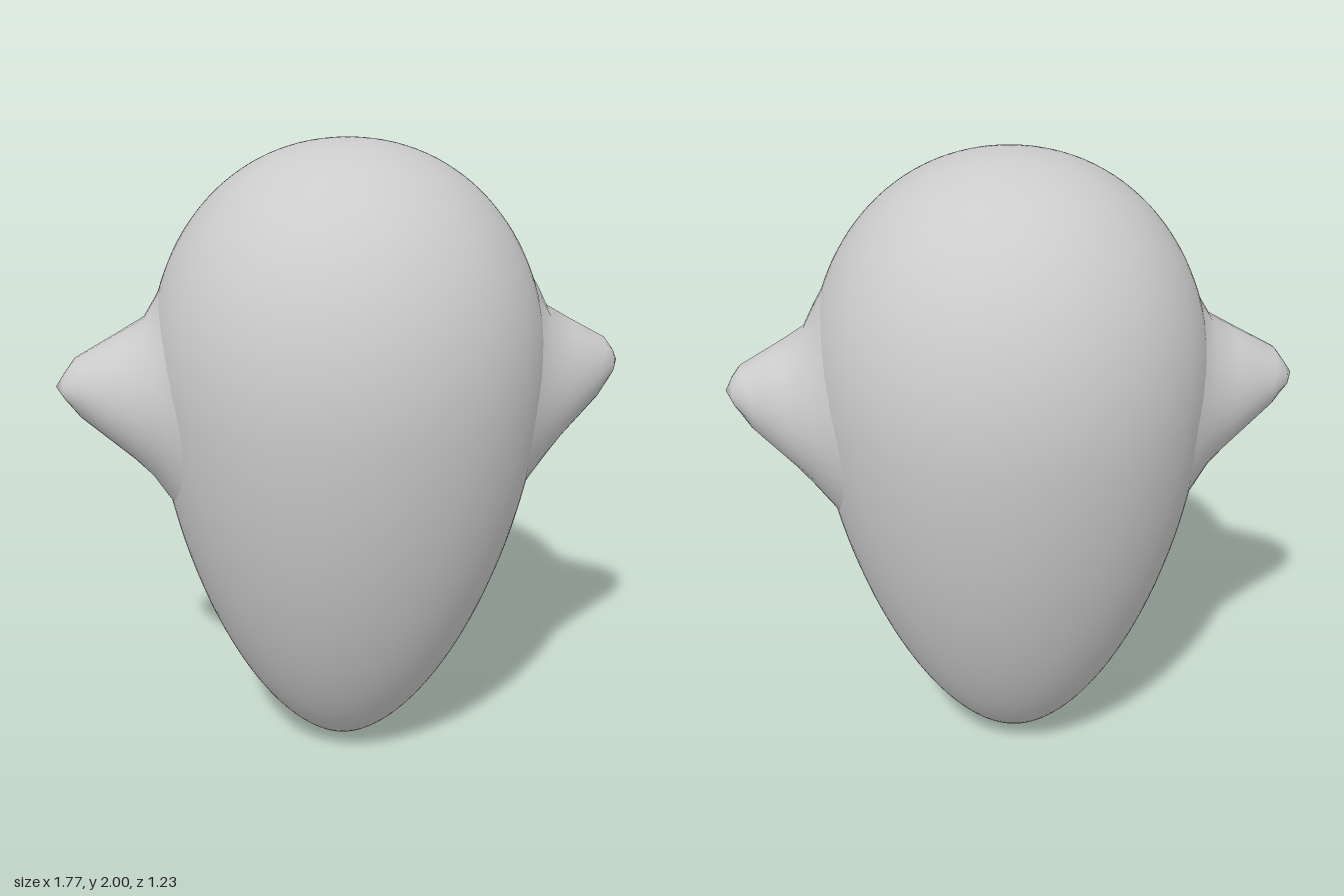
import * as THREE from 'three';

const material = new THREE.MeshStandardMaterial({ color: 0xcccccc });

// Egg-shaped body: a domed upper half and a longer tapering lower half
function makeBody() {
  const waist = 1.3, radius = 0.613, points = [];
  for (let i = 0; i <= 64; i++) {
    const a = -Math.PI / 2 + (Math.PI * i) / 64;
    const p = a < 0 ? 1.7 : 2.1;
    const height = a < 0 ? waist : 2 - waist;
    const r = i % 64 === 0 ? 0 : radius * Math.pow(Math.cos(a), 2 / p);
    const y = waist + Math.sign(a) * height * Math.pow(Math.abs(Math.sin(a)), 2 / p);
    points.push(new THREE.Vector2(r, y));
  }
  const geometry = new THREE.LatheGeometry(points, 96);
  // Lean very slightly to the left towards the top
  const pos = geometry.attributes.position;
  for (let i = 0; i < pos.count; i++) {
    pos.setX(i, pos.getX(i) + 0.015 * Math.min(1, pos.getY(i) / 1.2));
  }
  const mesh = new THREE.Mesh(geometry, material);
  mesh.name = 'body';
  return mesh;
}

// Side bump lofted through rings that wrap the body at the base.
// Each ring: [topX, topY, bottomX, bottomY, sideX, halfDepth]
function makeBump(name, side, rings, tip) {
  const n = 32, vertices = [], index = [];
  const tri = (a, b, c) => index.push(...(side > 0 ? [a, b, c] : [a, c, b]));
  for (const [topX, topY, botX, botY, sideX, depth] of rings) {
    for (let j = 0; j < n; j++) {
      const a = (2 * Math.PI * j) / n, c = Math.cos(a);
      const x = THREE.MathUtils.lerp(sideX, c > 0 ? topX : botX, c * c);
      vertices.push(side * x, (topY + botY) / 2 + (c * (topY - botY)) / 2, depth * Math.sin(a));
    }
  }
  vertices.push(side * tip[0], tip[1], 0);
  const tipIndex = rings.length * n;
  rings.forEach((_, i) => {
    for (let j = 0; j < n; j++) {
      const a = i * n + j, b = i * n + ((j + 1) % n);
      if (i === rings.length - 1) {
        tri(a, b, tipIndex);
      } else {
        tri(a, b, a + n);
        tri(b, b + n, a + n);
      }
    }
  });
  const geometry = new THREE.BufferGeometry();
  geometry.setAttribute('position', new THREE.Float32BufferAttribute(vertices, 3));
  geometry.setIndex(index);
  geometry.computeVertexNormals();
  const mesh = new THREE.Mesh(geometry, material);
  mesh.name = name;
  return mesh;
}

export function createModel() {
  const group = new THREE.Group();
  group.name = 'eggWithSideBumps';
  group.add(makeBody());
  group.add(makeBump('leftBump', 1, [
    [0.57, 1.61, 0.53, 0.84, 0.5, 0.34],
    [0.605, 1.55, 0.58, 0.91, 0.56, 0.285],
    [0.64, 1.48, 0.625, 0.97, 0.62, 0.235],
    [0.72, 1.432, 0.675, 1.035, 0.69, 0.185],
    [0.84, 1.365, 0.815, 1.175, 0.8, 0.115],
    [0.865, 1.33, 0.853, 1.24, 0.86, 0.06],
  ], [0.885, 1.29]));
  group.add(makeBump('rightBump', -1, [
    [0.535, 1.61, 0.51, 0.84, 0.47, 0.34],
    [0.57, 1.54, 0.56, 0.91, 0.53, 0.285],
    [0.61, 1.475, 0.605, 0.98, 0.58, 0.24],
    [0.69, 1.43, 0.65, 1.03, 0.66, 0.19],
    [0.825, 1.355, 0.815, 1.175, 0.8, 0.115],
    [0.858, 1.31, 0.85, 1.225, 0.86, 0.06],
  ], [0.885, 1.27]));
  return group;
}
